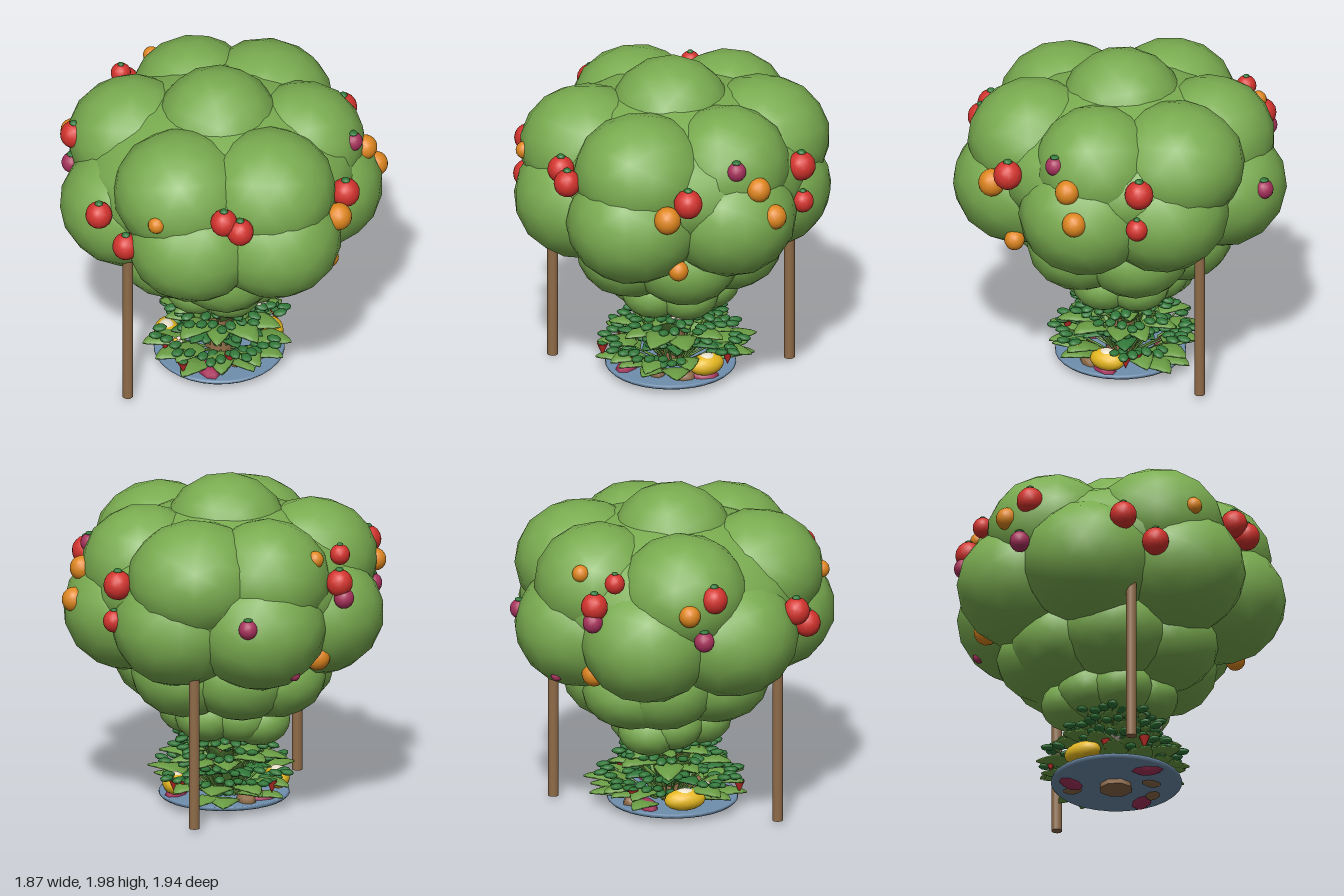
import * as THREE from 'three';

const mat = (name, color) => {
  const m = new THREE.MeshStandardMaterial({ color });
  m.name = name;
  return m;
};

export function createModel() {
  const model = new THREE.Group();
  model.name = 'fruitTreePlanter';

  const foliage = mat('foliage green', 0x7aac50);
  const darkLeaf = mat('dark leaf green', 0x317839);
  const paleLeaf = mat('leaf green', 0x6a9d44);
  const wood = mat('wood brown', 0x8f6b48);
  const slate = mat('slate blue', 0x6f8fae);
  const red = mat('tomato red', 0xd4332d);
  const orange = mat('fruit orange', 0xe0871f);
  const plum = mat('plum', 0xa8325c);
  const yellow = mat('squash yellow', 0xe6b820);
  const cream = mat('cream', 0xf0e8d2);

  const blobGeo = new THREE.IcosahedronGeometry(1, 2);
  const smallGeo = new THREE.SphereGeometry(1, 8, 6);
  const stemGeo = new THREE.CylinderGeometry(0.005, 0.007, 1, 5);

  // pointed leaf: flat lens tapering to a tip, base at the origin, pointing +x
  const leafGeo = new THREE.SphereGeometry(1, 10, 5);
  const lp = leafGeo.attributes.position;
  for (let i = 0; i < lp.count; i++) {
    const x = lp.getX(i);
    lp.setXYZ(i, (x + 1) / 2, lp.getY(i) * 0.09 - 0.1 * x * x, lp.getZ(i) * (0.62 - 0.38 * x) * 0.5);
  }
  leafGeo.computeVertexNormals();

  let seed = 7;
  const rand = (a, b) => {
    seed = (seed * 16807) % 2147483647;
    return a + (b - a) * (seed / 2147483647);
  };

  const add = (name, geo, material, pos, scale = [1, 1, 1], rot = [0, 0, 0], parent = model) => {
    const m = new THREE.Mesh(geo, material);
    m.name = name;
    m.position.set(...pos);
    m.scale.set(...scale);
    m.rotation.set(...rot);
    parent.add(m);
    return m;
  };
  const group = (name) => {
    const g = new THREE.Group();
    g.name = name;
    model.add(g);
    return g;
  };

  // canopy: rings of overlapping blobs round a core
  const canopy = group('canopy');
  const blobs = [];
  const blob = (x, y, z, r, ry) => {
    blobs.push([x, y, z, r, ry]);
    add('foliageBlob', blobGeo, foliage, [x, y, z], [r, ry, r], [0, x * 5 + z * 3, 0], canopy);
  };
  const ring = (count, start, dist, y, r, ry) => {
    for (let i = 0; i < count; i++) {
      const a = start + (i * Math.PI * 2) / count;
      blob(Math.cos(a) * dist, y, Math.sin(a) * dist, r, ry);
    }
  };
  blob(0, 1.37, 0, 0.84, 0.48);
  blob(-0.02, 1.62, 0, 0.38, 0.38);
  [[-0.51, 0.1, 0.4], [-0.18, 0.5, 0.4], [0.32, 0.36, 0.38], [0.51, -0.06, 0.41], [0.3, -0.42, 0.38], [-0.24, -0.46, 0.39]]
    .forEach(([x, z, r]) => blob(x, 1.49, z, r, 0.36));
  [[-0.22, 0.575], [0.34, 0.45], [0.53, 0.04], [0.4, -0.42], [-0.06, -0.575], [-0.49, -0.31], [-0.54, 0.22]]
    .forEach(([x, z]) => blob(x, 1.22, z, 0.4, 0.37));
  ring(6, 0.3, 0.34, 0.87, 0.32, 0.27);
  blob(0.1, 0.84, -0.38, 0.3, 0.24);
  ring(6, 0.1, 0.2, 0.58, 0.19, 0.16);
  blob(0.04, 0.54, -0.24, 0.19, 0.15);
  blob(0, 0.72, 0, 0.36, 0.24);

  // two support posts
  for (const x of [-0.72, 0.675]) {
    add('supportPost', new THREE.CylinderGeometry(0.032, 0.032, 1.08, 12), wood, [x, 0.565, -0.13]);
  }

  // trunk and shallow dish
  add('trunk', new THREE.CylinderGeometry(0.03, 0.1, 0.6, 8), wood, [-0.01, 0.31, 0.01]);
  const dishProfile = [[0, 0.04], [0.375, 0.04], [0.387, 0.052], [0.384, 0.065], [0.37, 0.065], [0, 0.06]];
  add('dish', new THREE.LatheGeometry(dishProfile.map((p) => new THREE.Vector2(...p)), 32), slate, [-0.02, 0, 0.01]);

  // fruit set into the canopy, moved outward until its centre is near the surface
  const fruits = group('canopyFruit');
  const buried = (x, y, z) => blobs.some(([bx, by, bz, r, ry]) =>
    ((x - bx) / r) ** 2 + ((y - by) / ry) ** 2 + ((z - bz) / r) ** 2 < 0.87);
  const fruit = (material, r, x, y, z) => {
    while (buried(x, y, z)) {
      x *= 1.01;
      z *= 1.01;
    }
    add('fruit', blobGeo, material, [x, y, z], [r, r * 1.05, r], [0, x * 7, 0], fruits);
    if (material === orange) return;
    const c = r * (material === plum ? 0.5 : 0.32);
    add('fruitCap', smallGeo, darkLeaf, [x, y + r, z], [c, r * 0.22, c], [0, 0, 0], fruits);
  };
  [[0.08, -0.65, 1.53, 0.53], [0.08, -0.61, 1.48, 0.62], [0.085, 0.11, 1.46, 0.85], [0.085, 0.76, 1.48, 0.33],
    [0.065, 0.77, 1.26, 0.35], [0.08, 0.18, 1.49, -0.84], [0.06, 0.07, 1.63, -0.79], [0.08, -0.5, 1.56, -0.67],
    [0.08, -0.87, 1.38, -0.23], [0.08, -0.87, 1.24, -0.03]].forEach((p) => fruit(red, ...p));
  [[0.08, -0.01, 1.37, 0.89], [0.072, 0.52, 1.48, 0.68], [0.072, 0.59, 1.31, 0.66], [0.06, 0.05, 0.99, 0.77],
    [0.075, 0.22, 1.03, -0.71], [0.05, 0.3, 1.65, -0.74], [0.065, -0.39, 1.48, -0.78], [0.05, -0.86, 1.5, 0.2]]
    .forEach((p) => fruit(orange, ...p));
  [[0.057, 0.39, 1.6, 0.69], [0.057, 0.71, 1.31, -0.49], [0.035, 0.41, 0.98, -0.6], [0.06, 0.18, 1.4, -0.87],
    [0.06, -0.47, 1.31, -0.74]].forEach((p) => fruit(plum, ...p));

  // vegetables lying on the dish
  const crops = group('dishCrops');
  [[0.17, 0.23], [-0.27, 0.12], [0.05, -0.25]].forEach(([x, z], i) =>
    add('beet', smallGeo, plum, [x, 0.06, z], [0.105, 0.05, 0.06], [0, i * 1.1, 0], crops));
  [[0.06, 0.26], [0.14, -0.21], [-0.1, 0.2]].forEach(([x, z], i) =>
    add('potato', smallGeo, wood, [x, 0.07, z], [0.08, 0.05, 0.055], [0, i * 0.9, 0], crops));
  const squashes = [[0.2, 0.225, 0.11], [-0.185, -0.255, 0.125]];
  squashes.forEach(([x, z, r]) => {
    add('squash', blobGeo, yellow, [x, 0.135, z], [r, 0.065, 0.075], [0, 0.6, 0], crops);
    add('squashPatch', blobGeo, cream, [x, 0.165, z], [r * 0.55, 0.04, 0.05], [0, 0.6, 0], crops);
  });
  [[0.33, 0.16, 0.1], [-0.42, 0.14, 0.05], [-0.23, 0.18, 0.25], [0.32, 0.15, 0.17], [0.1, 0.16, -0.36], [-0.32, 0.15, -0.16]]
    .forEach(([x, y, z]) => {
      add('berry', new THREE.ConeGeometry(0.034, 0.08, 8), red, [x, y, z], [1, 1, 1], [Math.PI, 0, 0], crops);
      add('berryCap', smallGeo, darkLeaf, [x, y + 0.042, z], [0.03, 0.01, 0.03], [0, 0, 0], crops);
    });

  // undergrowth: tiers of pointed leaves, left open in front of each squash
  const plants = group('undergrowth');
  const hidesSquash = (a) => squashes.some(([x, z]) => Math.cos(a - Math.atan2(z, x)) > 0.95);
  const tiers = [
    // material, count, inner radius, height, length, tilt
    [paleLeaf, 13, 0.2, 0.1, 0.25, 0.12], [paleLeaf, 11, 0.21, 0.17, 0.27, 0.05], [darkLeaf, 8, 0.1, 0.22, 0.22, 0.1],
    [paleLeaf, 10, 0.12, 0.3, 0.25, 0], [paleLeaf, 8, 0.05, 0.36, 0.24, 0.15],
    [paleLeaf, 8, 0.05, 0.12, 0.24, 1], [paleLeaf, 7, 0.06, 0.28, 0.2, 0.8],
  ];
  tiers.forEach(([material, count, r0, y, len, tilt], t) => {
    for (let i = 0; i < count; i++) {
      const a = ((i + t * 0.37) * Math.PI * 2) / count + rand(-0.1, 0.1);
      const l = len * rand(0.85, 1.15);
      if (t < 2 && hidesSquash(a)) continue;
      add('pointedLeaf', leafGeo, material, [Math.cos(a) * r0, y + rand(-0.015, 0.02), Math.sin(a) * r0],
        [l, l * 0.7, l], [0, -a, tilt + rand(-0.1, 0.1)], plants);
    }
  });

  // small dark leaflets carried on thin stems
  const up = new THREE.Vector3(0, 1, 0);
  const stemTo = (tip) => {
    const base = new THREE.Vector3(tip.x * 0.25, 0.06, tip.z * 0.25);
    const dir = tip.clone().sub(base);
    const s = add('stem', stemGeo, paleLeaf, base.clone().addScaledVector(dir, 0.5).toArray(), [1, dir.length(), 1], [0, 0, 0], plants);
    s.quaternion.setFromUnitVectors(up, dir.normalize());
  };
  [[12, 0.375, 0.21], [9, 0.28, 0.16], [9, 0.22, 0.25], [9, 0.26, 0.35], [9, 0.24, 0.43], [6, 0.13, 0.39]].forEach(([count, r, y], t) => {
    for (let i = 0; i < count; i++) {
      const a = ((i + t * 0.5) * Math.PI * 2) / count;
      const tip = new THREE.Vector3(Math.cos(a) * r, y + rand(-0.02, 0.02), Math.sin(a) * r);
      if (t < 2 && hidesSquash(a)) continue;
      stemTo(tip);
      for (const k of [-1, 0, 1]) {
        const b = a + (k * 0.055) / r;
        const d = r + (k === 0 ? 0.035 : -0.01);
        add('leaflet', smallGeo, darkLeaf, [Math.cos(b) * d, tip.y + 0.006 * k, Math.sin(b) * d],
          [0.044, 0.018, 0.032], [0, -b, rand(-0.2, 0.2)], plants);
      }
    }
  });

  // small pale blossoms
  const blossoms = group('blossoms');
  [[0.03, 0.46, 0.27], [0.08, 0.2, 0.36], [-0.3, 0.2, -0.1]].forEach(([x, y, z]) => {
    for (let i = 0; i < 5; i++) {
      const a = (i * Math.PI * 2) / 5;
      add('petal', smallGeo, cream, [x + Math.cos(a) * 0.027, y, z + Math.sin(a) * 0.027],
        [0.024, 0.007, 0.015], [0, -a, 0.15], blossoms);
    }
    add('blossomCentre', smallGeo, yellow, [x, y + 0.006, z], [0.014, 0.01, 0.014], [0, 0, 0], blossoms);
  });

  return model;
}
